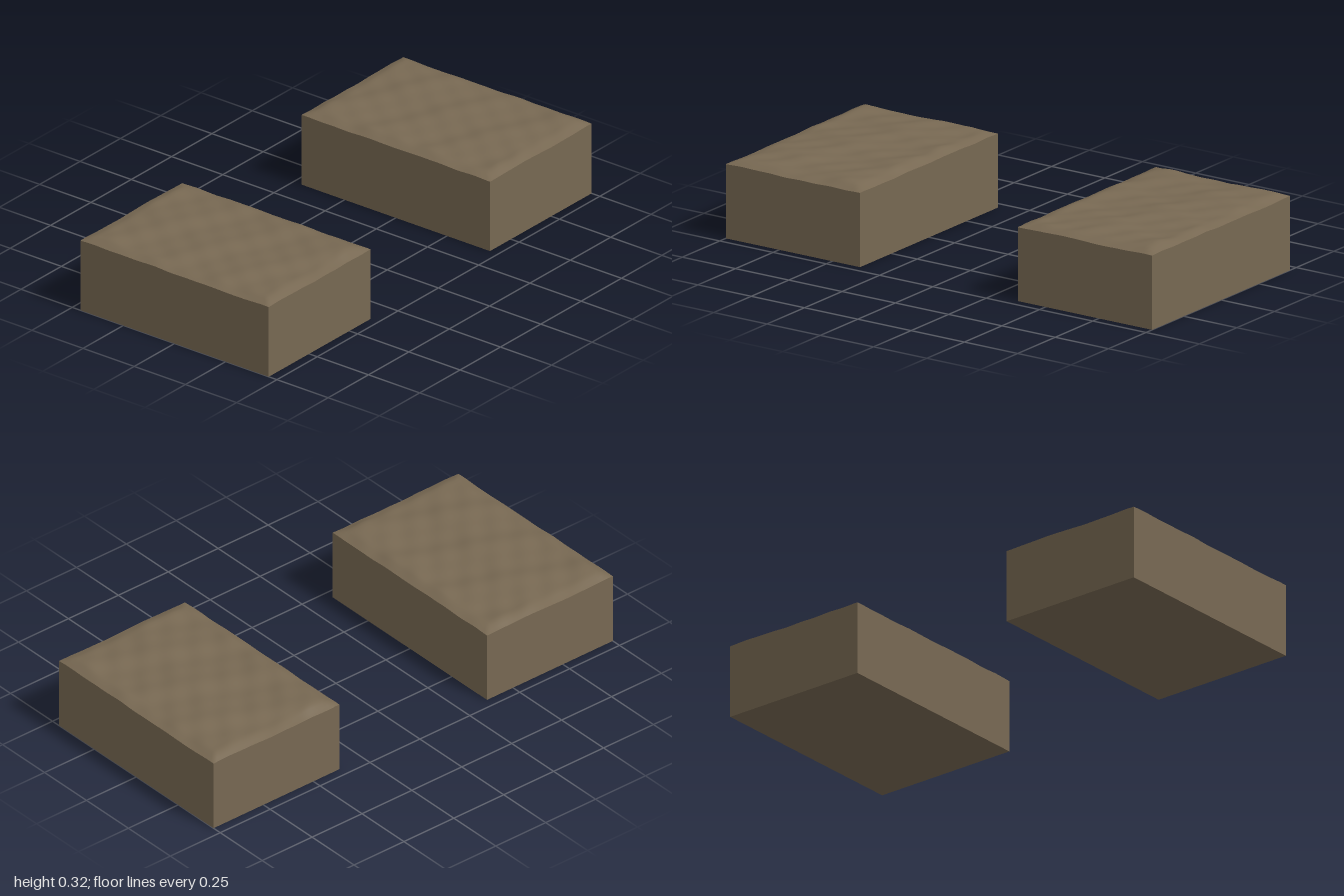
import * as THREE from 'three';

const WIDTH = 0.63, DEPTH = 0.92, CENTRE_X = 0.685;

// Uneven ground height: a rolled-off rim with soft bumps inside
function groundHeight(x, z) {
  const inset = Math.min(WIDTH / 2 - Math.abs(x), DEPTH / 2 - Math.abs(z));
  const rim = THREE.MathUtils.smoothstep(inset, -0.015, 0.05);
  const bumps =
    0.0035 * Math.sin(17 * x + 5 * z + 0.6) +
    0.003 * Math.sin(23 * z - 9 * x + 1.7) +
    0.0025 * Math.sin(31 * x - 19 * z) * Math.cos(27 * z + 11 * x) +
    0.0015 * Math.sin(47 * x + 38 * z + 2.1);
  return 0.296 + 0.018 * rim + bumps * (0.25 + 0.75 * rim);
}

// Earth block with straight sides, a flat base and a rough top
function earthBlock(material) {
  const geometry = new THREE.BoxGeometry(WIDTH, 1, DEPTH, 42, 1, 60);
  const p = geometry.attributes.position;
  for (let i = 0; i < p.count; i++) {
    p.setY(i, p.getY(i) > 0 ? groundHeight(p.getX(i), p.getZ(i)) : 0);
  }
  geometry.computeVertexNormals();
  return new THREE.Mesh(geometry, material);
}

export function createModel() {
  const model = new THREE.Group();
  model.name = 'earthBlocks';
  const earth = new THREE.MeshStandardMaterial({ color: 0x776852 });
  earth.name = 'earth brown';

  // The second block is the first turned half way round
  for (const side of [1, -1]) {
    const block = earthBlock(earth);
    block.name = side > 0 ? 'leftEarthBlock' : 'rightEarthBlock';
    block.position.x = side * CENTRE_X;
    block.rotation.y = side > 0 ? 0 : Math.PI;
    model.add(block);
  }
  return model;
}
